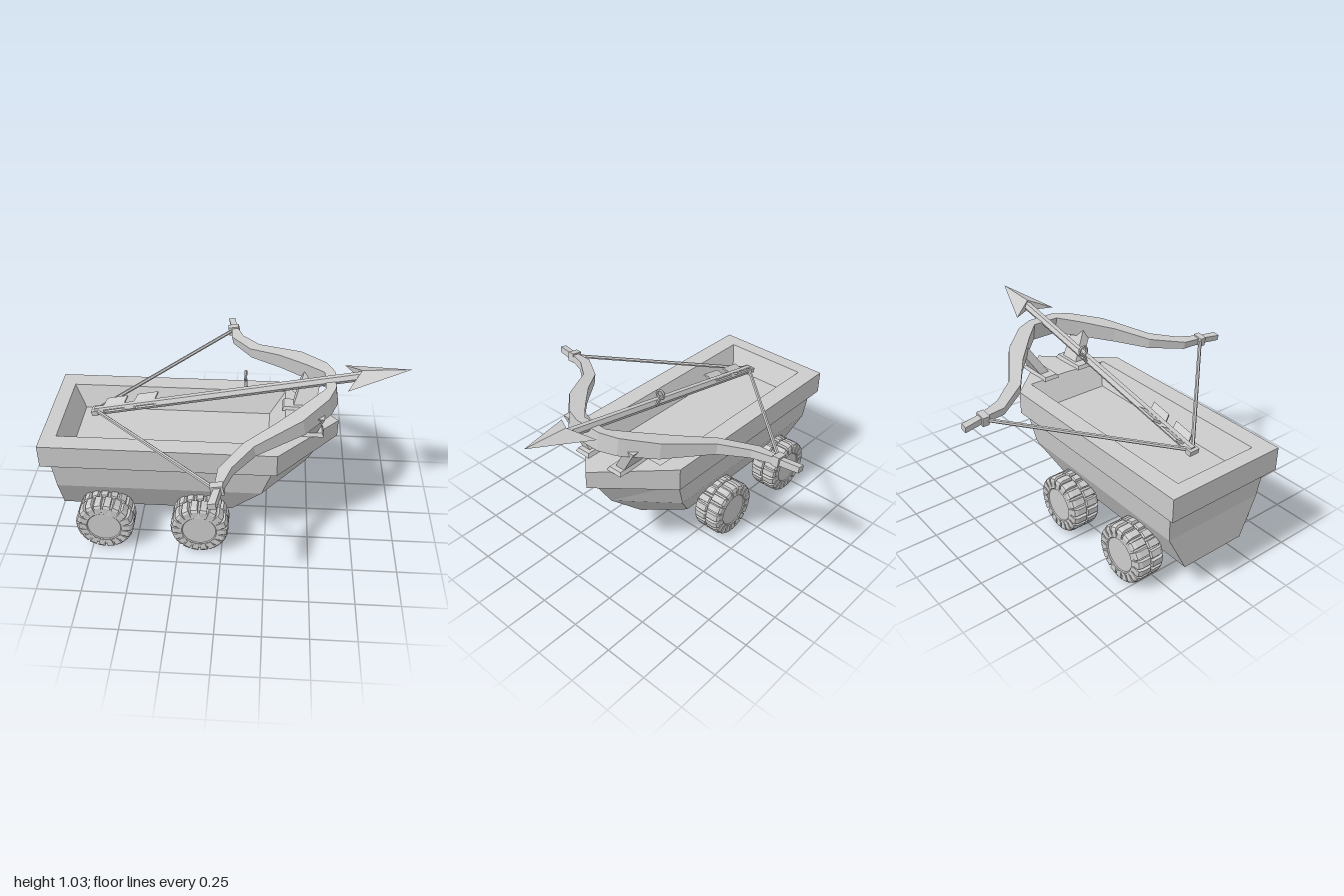
import * as THREE from 'three';
import { mergeGeometries } from 'three/addons/utils/BufferGeometryUtils.js';

const material = new THREE.MeshStandardMaterial({ color: 0xcccccc, flatShading: true, side: THREE.DoubleSide });

function addMesh(parent, name, geometry) {
  const mesh = new THREE.Mesh(geometry, material);
  mesh.name = name;
  parent.add(mesh);
  return mesh;
}

// Skin a list of equal-length rings, counter-clockwise as seen from the last one, and cap both ends.
function loft(rings) {
  const n = rings[0].length, index = [];
  for (let r = 0; r < rings.length - 1; r++) {
    for (let i = 0; i < n; i++) {
      const a = r * n + i, b = r * n + (i + 1) % n;
      index.push(a, b, b + n, a, b + n, a + n);
    }
  }
  const last = (rings.length - 1) * n;
  for (let i = 1; i < n - 1; i++) index.push(0, i + 1, i, last, last + i, last + i + 1);
  const g = new THREE.BufferGeometry();
  g.setAttribute('position', new THREE.Float32BufferAttribute(rings.flat(2), 3));
  g.setIndex(index);
  const flat = g.toNonIndexed();
  flat.computeVertexNormals();
  return flat;
}

// Straight bar between two points
function bar(parent, name, a, b, radius, sides, radiusEnd = radius) {
  const from = new THREE.Vector3(...a), to = new THREE.Vector3(...b);
  const dir = to.clone().sub(from);
  const mesh = addMesh(parent, name, new THREE.CylinderGeometry(radiusEnd, radius, dir.length(), sides));
  mesh.position.copy(from).add(to).multiplyScalar(0.5);
  mesh.quaternion.setFromUnitVectors(new THREE.Vector3(0, 1, 0), dir.normalize());
  return mesh;
}

// Five-cornered boat outline: rear, shoulder, prow, mirrored in z
const outline = ([y, rear, shoulder, prow, halfWidth, prowY = y]) => [
  [rear, y, halfWidth], [shoulder, y, halfWidth], [prow, prowY, 0],
  [shoulder, y, -halfWidth], [rear, y, -halfWidth],
];

function makeHull() {
  const hull = new THREE.Group();
  hull.name = 'hull';
  addMesh(hull, 'lowerHull', loft([
    [0.16, -0.945, 0.05, 0.24, 0.2],
    [0.38, -0.935, 0.22, 0.47, 0.31],
    [0.56, -0.95, 0.28, 0.58, 0.33],
  ].map(outline)));
  // The rim turns inward and down into the open well
  addMesh(hull, 'rimAndWell', loft([
    [0.555, -0.94, 0.27, 0.58, 0.32],
    [0.555, -1, 0.3, 0.64, 0.36, 0.575],
    [0.69, -1, 0.3, 0.64, 0.36, 0.68],
    [0.69, -0.915, 0.34, 0.34, 0.255],
    [0.565, -0.85, 0.25, 0.25, 0.2],
  ].map(outline)));
  return hull;
}

function makeWheel() {
  const wheel = new THREE.Group();
  const profile = [[0, -0.08], [0.095, -0.08], [0.1, -0.085], [0.14, -0.078], [0.148, -0.06],
    [0.148, 0.06], [0.14, 0.078], [0.1, 0.085], [0.095, 0.08], [0, 0.08]];
  const tyre = addMesh(wheel, 'tyre', new THREE.LatheGeometry(profile.map(p => new THREE.Vector2(...p)), 36));
  tyre.rotation.x = Math.PI / 2;
  // Two staggered rows of tapered tread blocks that wrap onto the sidewalls
  const count = 18, blocks = [];
  for (const side of [-1, 1]) {
    for (let i = 0; i < count; i++) {
      const ring = (r, w, z0, z1) => [[-w, r, z1], [w, r, z1], [w, r, z0], [-w, r, z0]];
      const block = loft([
        ring(0.105, 0.013, 0.03, 0.085),
        ring(0.143, 0.02, 0.003, 0.087),
        ring(0.156, 0.02, 0.002, 0.08),
        ring(0.164, 0.018, 0.006, 0.062),
      ]);
      if (side < 0) block.rotateY(Math.PI);
      block.rotateZ((i + (side > 0 ? 0.5 : 0)) * 2 * Math.PI / count);
      blocks.push(block);
    }
  }
  addMesh(wheel, 'tread', mergeGeometries(blocks));
  return wheel;
}

function makeBow() {
  const bow = new THREE.Group();
  bow.name = 'bow';
  // [outer x, outer z, inner x, inner z, half height] from tip to middle
  const half = [
    [0.01, 0.89, -0.03, 0.89, 0.017], [0.03, 0.77, -0.005, 0.77, 0.019],
    [0.075, 0.64, 0.005, 0.64, 0.023], [0.18, 0.5, 0.125, 0.46, 0.03],
    [0.43, 0.34, 0.3, 0.33, 0.044], [0.57, 0.18, 0.46, 0.18, 0.05],
    [0.61, 0.08, 0.555, 0.08, 0.052],
  ];
  const section = s => ([ox, oz, ix, iz, h]) => {
    const oy = 0.8 + 0.17 * ox, iy = 0.8 + 0.17 * ix;
    return [[ox + 0.17 * h, oy - h, s * oz], [ox - 0.17 * h, oy + h, s * oz],
      [ix - 0.17 * h, iy + h, s * iz], [ix + 0.17 * h, iy - h, s * iz]];
  };
  addMesh(bow, 'limbs', loft([...half.map(section(-1)), ...half.slice().reverse().map(section(1))]));
  for (const s of [-1, 1]) {
    const clasp = addMesh(bow, 'stringClasp', new THREE.BoxGeometry(0.065, 0.055, 0.04));
    clasp.position.set(0.008, 0.803, s * 0.765);
    clasp.rotation.z = 0.17;
    bar(bow, 'string', [0, 0.8, s * 0.765], [-0.745, 0.69, 0], 0.011, 6);
  }
  return bow;
}

function makeArrow() {
  const arrow = new THREE.Group();
  arrow.name = 'arrow';
  const slope = Math.atan(0.2);
  const length = 1.78;
  // Built along +x from the tail, then tilted
  bar(arrow, 'shaft', [0, 0, 0], [1.56, 0, 0], 0.026, 6);
  addMesh(arrow, 'nock', new THREE.BoxGeometry(0.035, 0.03, 0.06));
  for (const x of [0.04, 0.22]) {
    for (const s of [-1, 1]) {
      const shape = new THREE.Shape([[0, 0], [0.035, 0.065], [0.155, 0.065], [0.125, 0]].map(p => new THREE.Vector2(...p)));
      const fin = addMesh(arrow, 'fin', new THREE.ExtrudeGeometry(shape, { depth: 0.012, bevelEnabled: false }));
      fin.position.set(x, 0, 0);
      fin.rotation.x = s * 1.05;
    }
  }
  // Barbed head: swept wings with a ridge above and below
  const tip = [length, 0, 0], wings = [[1.43, 0, 0.13], [1.43, 0, -0.13]];
  const ridges = [[1.52, 0.036, 0], [1.52, -0.036, 0]];
  const faces = [];
  for (const wing of wings) {
    faces.push(tip, ridges[0], wing, tip, wing, ridges[1], ridges[0], ridges[1], wing);
  }
  const head = new THREE.BufferGeometry();
  head.setAttribute('position', new THREE.Float32BufferAttribute(faces.flat(), 3));
  head.computeVertexNormals();
  addMesh(arrow, 'arrowHead', head);
  arrow.position.set(-0.745, 0.685, 0);
  arrow.rotation.z = slope;
  return arrow;
}

export function createModel() {
  const model = new THREE.Group();
  model.add(makeHull(), makeBow(), makeArrow());

  for (const x of [-0.67, -0.125]) {
    bar(model, 'axle', [x, 0.17, -0.3], [x, 0.17, 0.3], 0.078, 20);
    for (const s of [-1, 1]) {
      const wheel = makeWheel();
      wheel.name = 'wheel';
      wheel.position.set(x, 0.165, s * 0.325);
      model.add(wheel);
    }
  }

  // Splayed struts carrying the bow, each on a foot plate
  for (const s of [-1, 1]) {
    const ring = (x0, x1, y, z0, z1) => {
      const r = [[x0, y, s * z1], [x1, y, s * z1], [x1, y, s * z0], [x0, y, s * z0]];
      return s > 0 ? r : r.reverse();
    };
    addMesh(model, 'bowStrut', loft([ring(0.38, 0.51, 0.69, 0.09, 0.15), ring(0.44, 0.54, 0.87, 0.2, 0.26)]));
    addMesh(model, 'strutFoot', loft([ring(0.32, 0.55, 0.685, 0.07, 0.17), ring(0.33, 0.54, 0.706, 0.08, 0.16)]));
  }

  // Small ring sight beside the shaft
  const sight = addMesh(model, 'sightRing', new THREE.TorusGeometry(0.025, 0.008, 6, 16));
  sight.position.set(0.11, 0.93, -0.045);
  sight.rotation.y = Math.PI / 2;
  bar(model, 'sightPost', [0.115, 0.85, -0.02], [0.11, 0.91, -0.045], 0.01, 6);
  return model;
}
